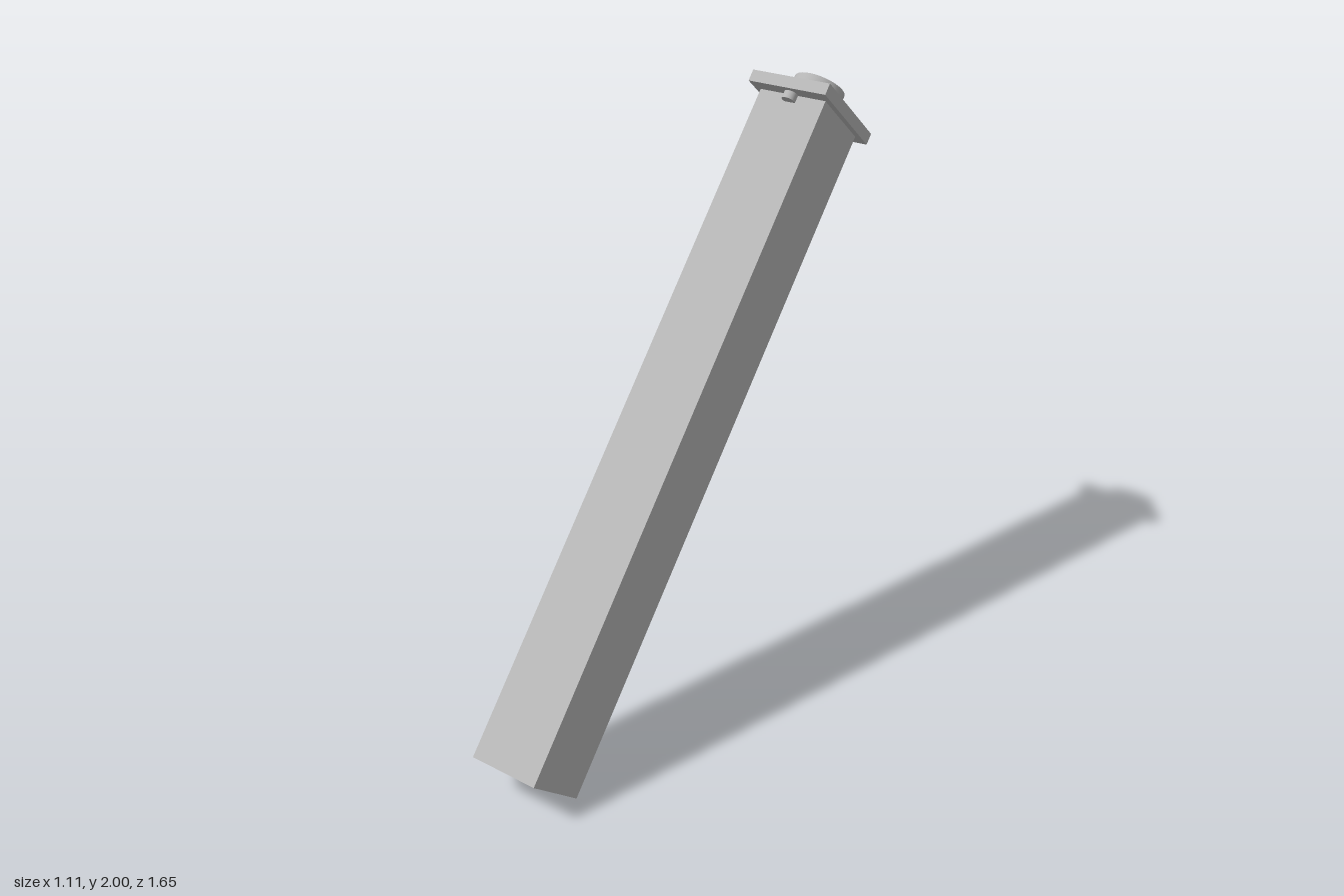
import * as THREE from 'three';

export function createModel() {
  const metal = new THREE.MeshStandardMaterial({ color: 0xb6b6b6 });
  metal.name = 'grey metal';

  const WIDTH = 0.25, LENGTH = 2.319;            // square beam
  const PLATE_W = 0.294, PLATE_D = 0.35, PLATE_T = 0.04;
  const HOLE_R = 0.023, HOLE_Z = 0.136;

  // Everything is built upright along y, then leaned over as one assembly
  const strut = new THREE.Group();
  strut.name = 'leaningStrut';
  const add = (name, geometry, x, y, z) => {
    const mesh = new THREE.Mesh(geometry, metal);
    mesh.name = name;
    mesh.position.set(x, y, z);
    strut.add(mesh);
  };

  // Beam
  add('beam', new THREE.BoxGeometry(WIDTH, LENGTH, WIDTH), 0, LENGTH / 2, 0);

  // End plate with two bolt holes
  const w = PLATE_W / 2, d = PLATE_D / 2;
  const outline = new THREE.Shape([
    new THREE.Vector2(-w, -d), new THREE.Vector2(w, -d),
    new THREE.Vector2(w, d), new THREE.Vector2(-w, d),
  ]);
  for (const side of [-1, 1]) {
    outline.holes.push(new THREE.Path().absarc(0, side * HOLE_Z, HOLE_R, 0, Math.PI * 2, true));
  }
  const plate = new THREE.ExtrudeGeometry(outline, { depth: PLATE_T, bevelEnabled: false, curveSegments: 24 });
  plate.rotateX(-Math.PI / 2);
  add('endPlate', plate, 0, LENGTH, 0);

  // Short pins showing under the plate, below each hole
  const pinLength = 0.026;
  for (const side of [-1, 1]) {
    add(side > 0 ? 'frontPin' : 'backPin',
      new THREE.CylinderGeometry(HOLE_R, HOLE_R, pinLength, 24),
      0, LENGTH - pinLength / 2, side * HOLE_Z);
  }

  // Round boss on the plate
  const bossHeight = 0.06;
  add('boss', new THREE.CylinderGeometry(0.088, 0.088, bossHeight, 40),
    0, LENGTH + PLATE_T + bossHeight / 2, 0);

  // Lean back 40 degrees, turned 30 degrees about the vertical
  strut.rotation.set(THREE.MathUtils.degToRad(-40), THREE.MathUtils.degToRad(-30), 0, 'YXZ');
  strut.position.set(-0.3985, 0.0803, 0.678);

  const model = new THREE.Group();
  model.name = 'strutWithEndPlate';
  model.add(strut);
  return model;
}
